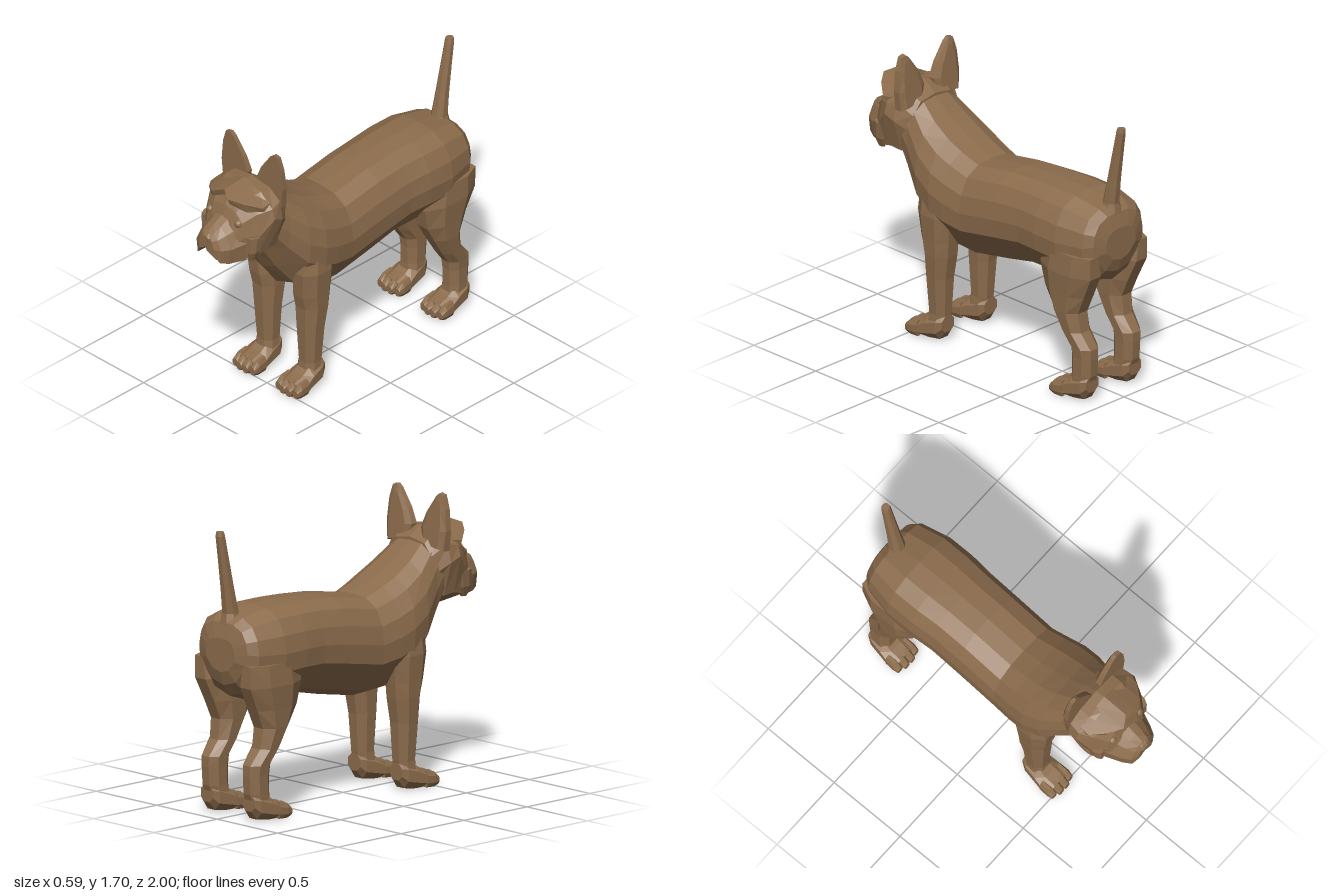
import * as THREE from 'three';

const coat = new THREE.MeshStandardMaterial({ color: 0x8c6c4c, flatShading: true });
coat.name = 'brown coat';

// Skin a row of equal-length rings of [x, y, z] points and close both ends.
function loft(name, rings) {
  const tris = [];
  const n = rings[0].length;
  for (let i = 0; i < rings.length - 1; i++) {
    for (let j = 0; j < n; j++) {
      const k = (j + 1) % n;
      const [a, b, c, d] = [rings[i][j], rings[i][k], rings[i + 1][k], rings[i + 1][j]];
      tris.push([a, b, c], [a, c, d]);
    }
  }
  const cap = (ring, flip) => {
    const mid = [0, 1, 2].map((q) => ring.reduce((s, p) => s + p[q], 0) / n);
    ring.forEach((p, j) => {
      const r = ring[(j + 1) % n];
      tris.push(flip ? [mid, r, p] : [mid, p, r]);
    });
  };
  cap(rings[0], true);
  cap(rings[rings.length - 1], false);

  // A negative enclosed volume means the faces point inwards.
  const V = (p) => new THREE.Vector3(...p);
  const volume = tris.reduce((s, [a, b, c]) => s + V(a).dot(V(b).cross(V(c))), 0);
  if (volume < 0) tris.forEach((t) => t.reverse());

  const geo = new THREE.BufferGeometry();
  geo.setAttribute('position', new THREE.Float32BufferAttribute(tris.flat(2), 3));
  geo.computeVertexNormals();
  return named(name, geo);
}

function named(name, geo) {
  const mesh = new THREE.Mesh(geo, coat);
  mesh.name = name;
  return mesh;
}

// Rectangle with cut corners, as eight [u, v] points.
function octagon(u0, u1, v0, v1, cut = 0.28) {
  const a = (u1 - u0) * cut, b = (v1 - v0) * cut;
  return [[u0 + a, v0], [u1 - a, v0], [u1, v0 + b], [u1, v1 - b],
    [u1 - a, v1], [u0 + a, v1], [u0, v1 - b], [u0, v0 + b]];
}

// Full ring from a half profile that runs top centre to bottom centre.
const mirrored = (half, z) => [
  ...half.map(([x, y]) => [x, y, z]),
  ...half.slice(1, -1).reverse().map(([x, y]) => [-x, y, z]),
];

function torso() {
  const profile = [[0, 0], [0.42, 0.015], [0.76, 0.1], [0.94, 0.26], [1, 0.44], [0.96, 0.63], [0.5, 0.92], [0, 1]];
  // z, belly height, back height, half width
  const stations = [
    [-0.975, 0.86, 1.06, 0.12], [-0.95, 0.78, 1.15, 0.2], [-0.9, 0.71, 1.19, 0.245],
    [-0.72, 0.65, 1.225, 0.285], [-0.55, 0.66, 1.225, 0.285], [-0.4, 0.655, 1.22, 0.272],
    [-0.2, 0.61, 1.205, 0.27], [0.07, 0.56, 1.16, 0.27], [0.2, 0.57, 1.205, 0.285],
    [0.3, 0.6, 1.25, 0.293], [0.42, 0.66, 1.32, 0.275], [0.54, 0.82, 1.41, 0.225], [0.64, 0.99, 1.46, 0.2],
  ];
  return loft('torso', stations.map(([z, lo, hi, w]) =>
    mirrored(profile.map(([x, t]) => [x * w, hi - t * (hi - lo)]), z)));
}

function head() {
  const group = new THREE.Group();
  group.name = 'head';
  group.add(loft('skull', [
    mirrored([[0, 1.42], [0.12, 1.4], [0.18, 1.33], [0.19, 1.22], [0.13, 1.1], [0, 1.02]], 0.53),
    mirrored([[0, 1.48], [0.14, 1.46], [0.225, 1.4], [0.248, 1.29], [0.19, 1.09], [0, 1.01]], 0.62),
    mirrored([[0, 1.48], [0.14, 1.46], [0.235, 1.38], [0.255, 1.32], [0.2, 1.1], [0, 1.0]], 0.69),
    mirrored([[0, 1.47], [0.12, 1.43], [0.19, 1.36], [0.22, 1.23], [0.19, 1.08], [0, 1.0]], 0.77),
    mirrored([[0, 1.38], [0.09, 1.36], [0.14, 1.31], [0.16, 1.22], [0.145, 1.07], [0, 1.01]], 0.84),
    mirrored([[0, 1.2], [0.05, 1.2], [0.08, 1.18], [0.1, 1.14], [0.08, 1.06], [0, 1.03]], 0.91),
  ]));
  group.add(loft('muzzle', [
    mirrored([[0, 1.34], [0.05, 1.33], [0.12, 1.27], [0.17, 1.18], [0.155, 1.06], [0, 1.14]], 0.82),
    mirrored([[0, 1.29], [0.045, 1.28], [0.09, 1.24], [0.13, 1.16], [0.115, 1.06], [0, 1.15]], 0.92),
    mirrored([[0, 1.26], [0.04, 1.255], [0.07, 1.22], [0.1, 1.16], [0.09, 1.075], [0, 1.155]], 0.97),
    mirrored([[0, 1.235], [0.03, 1.235], [0.045, 1.21], [0.06, 1.16], [0.05, 1.13], [0, 1.16]], 0.992),
  ]));
  group.add(loft('nose', [[0.94, 0.04, 1.19, 1.27], [0.985, 0.038, 1.19, 1.25], [1.0, 0.025, 1.2, 1.235]]
    .map(([z, w, lo, hi]) => octagon(-w, w, lo, hi).map(([x, y]) => [x, y, z]))));

  // Overhanging brow: x, front z, top y, lower y
  const half = [[0.21, 0.745, 1.4, 1.36], [0.14, 0.83, 1.435, 1.375], [0.065, 0.885, 1.462, 1.42]];
  const stations = [...half.map(([x, ...r]) => [-x, ...r]), [0, 0.845, 1.483, 1.44], ...half.slice().reverse()];
  group.add(loft('brow', stations.map(([x, z, hi, lo]) => [
    [x, hi + 0.01, 0.68], [x, hi, z], [x, lo, z - 0.02], [x, lo, 0.68],
  ])));

  for (const s of [1, -1]) {
    const eye = named('eye', new THREE.IcosahedronGeometry(0.027, 1));
    eye.position.set(s * 0.113, 1.3, 0.842);
    group.add(eye, ear(s));
    // Tuft hanging from the cheek
    group.add(loft('cheekTuft', [[1.22, 0.15, 0.22, 0.7, 0.83], [1.12, 0.16, 0.21, 0.73, 0.83], [1.06, 0.165, 0.185, 0.77, 0.81]]
      .map(([y, x0, x1, z0, z1]) => octagon(x0, x1, z0, z1).map(([x, z]) => [s * x, y, z]))));
  }
  return group;
}

// Upright ear: front outline, a raised back and a thin tip
function ear(s) {
  const outline = [[0.06, 1.38], [0.035, 1.48], [0.075, 1.57], [0.15, 1.675], [0.175, 1.695],
    [0.21, 1.688], [0.235, 1.61], [0.247, 1.48], [0.235, 1.36]];
  const slice = (scale, z, tipZ) => outline.map(([x, y]) => {
    const t = (y - 1.36) / 0.34;
    return [s * (0.15 + (x - 0.15) * scale), 1.45 + (y - 1.45) * (0.5 + scale / 2), z + (tipZ - z) * t];
  });
  return loft('ear', [slice(0.65, 0.55, 0.585), slice(0.97, 0.575, 0.597), slice(1, 0.62, 0.622)]);
}

// Leg column: each row is y, inner x, outer x, back z, front z
function leg(name, s, rows, footZ) {
  const group = new THREE.Group();
  group.name = name;
  group.add(loft('legColumn', rows.map(([y, x0, x1, z0, z1]) =>
    octagon(x0, x1, z0, z1).map(([x, z]) => [s * x, y, z]))));

  // z, half width, lower y, upper y
  const block = (part, cx, list) => loft(part, list.map(([z, w, lo, hi]) =>
    octagon(cx - w, cx + w, lo, hi).map(([x, y]) => [s * x, y, z + footZ])));
  group.add(block('paw', 0.173, [
    [0.255, 0.05, 0.06, 0.16], [0.29, 0.07, 0.012, 0.17], [0.37, 0.082, 0, 0.14],
    [0.42, 0.09, 0, 0.108], [0.49, 0.085, 0.005, 0.085],
  ]));
  [-0.07, -0.024, 0.024, 0.07].forEach((dx, i) => {
    const reach = i === 0 || i === 3 ? -0.015 : 0;
    group.add(block('toe', 0.174 + dx, [
      [0.42, 0.022, 0.004, 0.1], [0.495 + reach, 0.025, 0.002, 0.09], [0.53 + reach, 0.019, 0.012, 0.06],
    ]));
  });
  return group;
}

function tail() {
  // y, centre z, radius
  const stations = [[1.13, -0.89, 0.07], [1.2, -0.895, 0.05], [1.35, -0.92, 0.041], [1.52, -0.95, 0.034], [1.66, -0.975, 0.029], [1.685, -0.977, 0.024]];
  return loft('tail', stations.map(([y, z, r]) => Array.from({ length: 8 }, (_, i) => {
    const a = (i + 0.5) * Math.PI / 4;
    return [Math.cos(a) * r, y, z + Math.sin(a) * r];
  })));
}

export function createModel() {
  const model = new THREE.Group();
  model.name = 'dog';
  model.add(torso(), head(), tail());

  const front = [
    [0.95, 0.13, 0.27, 0.2, 0.42], [0.8, 0.1, 0.282, 0.19, 0.44], [0.64, 0.085, 0.27, 0.205, 0.425],
    [0.55, 0.085, 0.265, 0.215, 0.405], [0.4, 0.095, 0.25, 0.24, 0.398], [0.17, 0.108, 0.232, 0.255, 0.383],
    [0.09, 0.1, 0.238, 0.27, 0.39],
  ];
  const hind = [
    [0.92, 0.12, 0.275, -0.955, -0.58], [0.79, 0.09, 0.283, -0.955, -0.55], [0.65, 0.085, 0.272, -0.89, -0.58],
    [0.54, 0.09, 0.265, -0.842, -0.64], [0.42, 0.098, 0.25, -0.858, -0.71], [0.33, 0.102, 0.24, -0.93, -0.77],
    [0.27, 0.105, 0.235, -0.932, -0.777], [0.16, 0.105, 0.235, -0.925, -0.777], [0.08, 0.1, 0.238, -0.9, -0.77],
  ];
  for (const s of [1, -1]) {
    const side = s > 0 ? 'left' : 'right';
    model.add(leg(side + 'FrontLeg', s, front, 0), leg(side + 'HindLeg', s, hind, -1.17));
  }
  return model;
}
